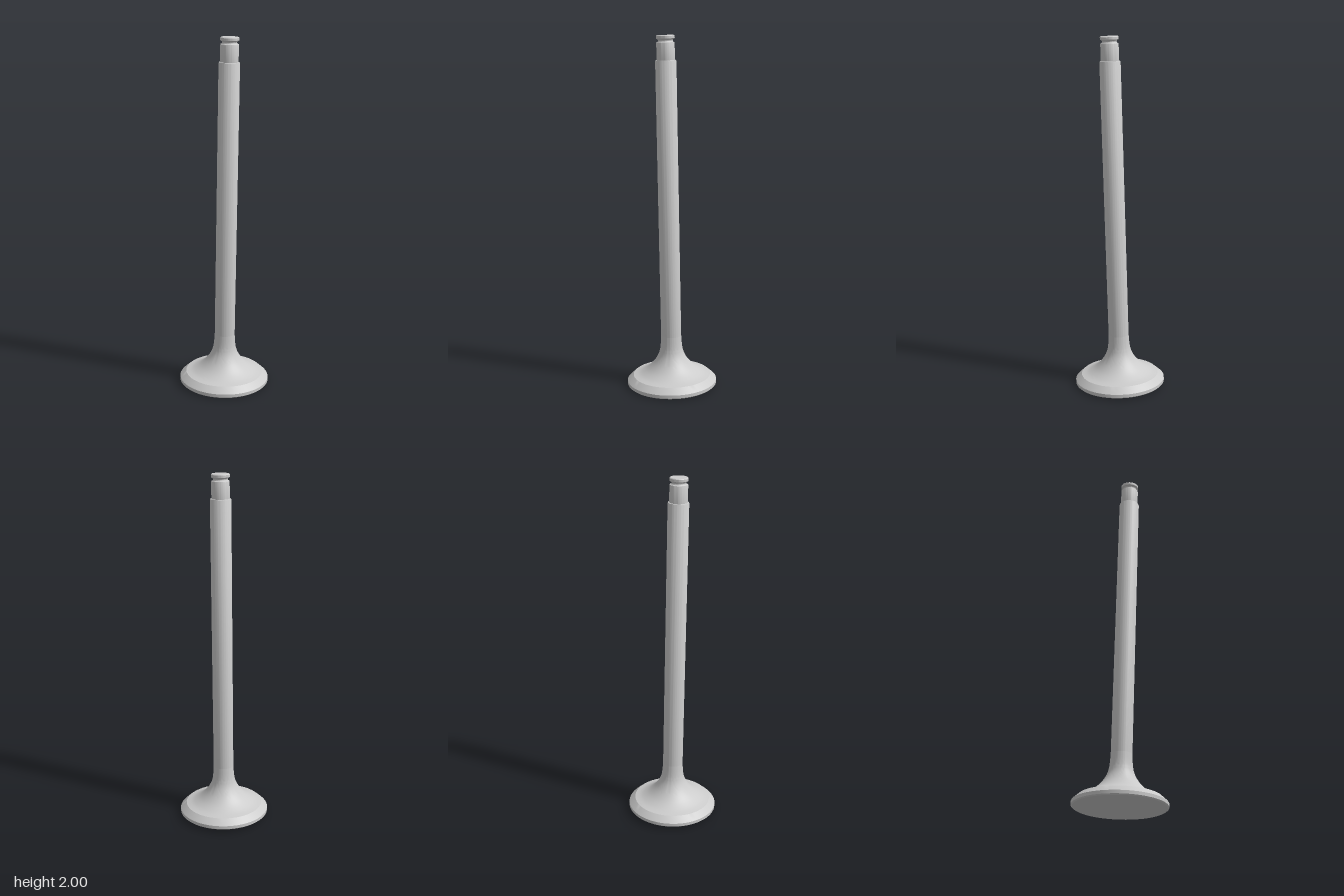
import * as THREE from 'three';
import { toCreasedNormals } from 'three/addons/utils/BufferGeometryUtils.js';

const material = new THREE.MeshStandardMaterial({ color: 0xcccccc });
const v = (r, y) => new THREE.Vector2(r, y);

// Turned part: profile runs bottom to top, sharp edges kept
function turned(name, profile) {
  const geometry = toCreasedNormals(new THREE.LatheGeometry(profile, 64), 0.45);
  const mesh = new THREE.Mesh(geometry, material);
  mesh.name = name;
  return mesh;
}

export function createModel() {
  const group = new THREE.Group();
  group.name = 'engineValve';

  // Concave flare from the disc up into the stem
  const flare = new THREE.SplineCurve([
    v(0.213, 0.058), v(0.18, 0.069), v(0.14, 0.093), v(0.105, 0.127),
    v(0.08, 0.165), v(0.067, 0.2), v(0.061, 0.24), v(0.058, 0.29),
  ]).getPoints(28);

  // Disc with a faintly dished face, straight rim and chamfered seat
  group.add(turned('valveHead', [
    v(0, 0.004), v(0.16, 0.003), v(0.18, 0), v(0.25, 0), v(0.257, 0.006),
    v(0.257, 0.024), v(0.25, 0.031), v(0.222, 0.056), ...flare,
  ]));

  group.add(turned('stem', [
    v(0.058, 0.29), v(0.058, 1.852), v(0.056, 1.857), v(0.05, 1.858),
  ]));

  // Slim neck, rounded keeper groove and end button
  const groove = [];
  for (let i = 0; i <= 8; i++) {
    const a = (i / 8) * Math.PI;
    groove.push(v(0.049 - 0.009 * Math.sin(a), 1.962 - 0.009 * Math.cos(a)));
  }
  group.add(turned('keeperTip', [
    v(0.05, 1.858), v(0.05, 1.95), ...groove,
    v(0.051, 1.974), v(0.051, 1.987), v(0.047, 1.991), v(0, 1.991),
  ]));

  // The whole valve leans slightly forward and to its right
  group.children.forEach((part) => {
    part.rotation.set(0.028, 0, 0.0115);
    part.position.set(-0.001, 0.0075, 0);
  });
  return group;
}
